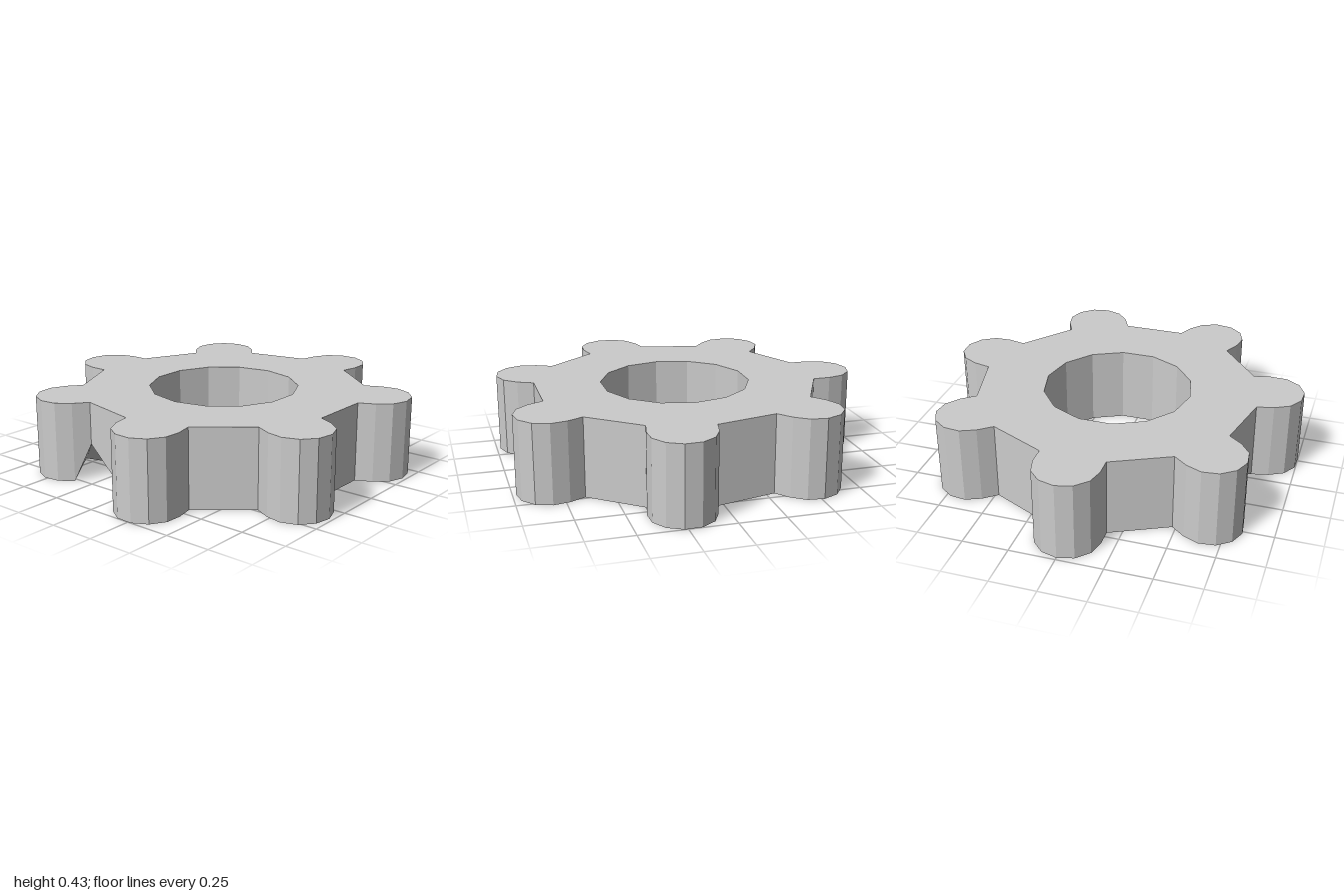
import * as THREE from 'three';

const TEETH = 7, HEIGHT = 0.43, STEP = (Math.PI * 2) / TEETH;
const CENTRE_Z = 0.04, BORE = 0.41, ROOT = 0.776, LOBE_AT = 0.85, LOBE_R = 0.175;

export function createModel() {
  const positions = [];

  // point on the plan: angle runs from the back (-z) towards +x; dent lifts the underside
  const polar = (r, a, dent = 0) => ({ x: r * Math.sin(a), z: CENTRE_Z - r * Math.cos(a), dent });
  const top = p => [p.x, HEIGHT, p.z];
  const bottom = p => [p.x, p.dent, p.z];
  const tri = (a, b, c) => positions.push(...a, ...b, ...c);

  // matching top and bottom faces of a plan polygon (clockwise from above)
  const caps = pts => {
    for (let i = 1; i < pts.length - 1; i++) {
      tri(top(pts[0]), top(pts[i + 1]), top(pts[i]));
      tri(bottom(pts[0]), bottom(pts[i]), bottom(pts[i + 1]));
    }
  };
  // upright face from p to q
  const wall = (p, q) => {
    tri(bottom(q), bottom(p), top(p));
    tri(bottom(q), top(p), top(q));
  };

  // one rounded tooth with its slice of the hub
  const rootHalf = Math.asin(LOBE_R / ROOT);
  const sectors = Array.from({ length: TEETH }, (_, k) => {
    const a = k * STEP;
    const dented = k === TEETH - 1; // slight dent under one tooth
    const centre = polar(LOBE_AT, a);
    const arc = [];
    for (let j = -3; j <= 3; j++) {
      const t = a + (j * Math.PI) / 6;
      arc.push({ x: centre.x + LOBE_R * Math.sin(t), z: centre.z - LOBE_R * Math.cos(t), dent: 0 });
    }
    return {
      arc,
      boreStart: polar(BORE, a - STEP / 4),
      boreEnd: polar(BORE, a + STEP / 4, dented ? 0.08 : 0),
      rootStart: polar(ROOT, a - rootHalf, dented ? 0.2 : 0),
      rootEnd: polar(ROOT, a + rootHalf)
    };
  });

  sectors.forEach((s, k) => {
    const next = sectors[(k + 1) % TEETH];
    // tooth slice, then the hub web to the next tooth
    caps([s.rootEnd, s.boreEnd, s.boreStart, s.rootStart, ...s.arc]);
    caps([s.rootEnd, next.rootStart, next.boreStart, s.boreEnd]);
    // outer rim
    const rim = [s.rootStart, ...s.arc, s.rootEnd, next.rootStart];
    for (let i = 0; i < rim.length - 1; i++) wall(rim[i], rim[i + 1]);
    // bore, facing inwards
    wall(s.boreEnd, s.boreStart);
    wall(next.boreStart, s.boreEnd);
  });

  const geometry = new THREE.BufferGeometry();
  geometry.setAttribute('position', new THREE.Float32BufferAttribute(positions, 3));
  geometry.computeVertexNormals();

  const gear = new THREE.Mesh(
    geometry,
    new THREE.MeshStandardMaterial({ color: 0xcccccc, flatShading: true })
  );
  gear.name = 'gearWheel';

  const group = new THREE.Group();
  group.name = 'gear';
  group.add(gear);
  return group;
}
